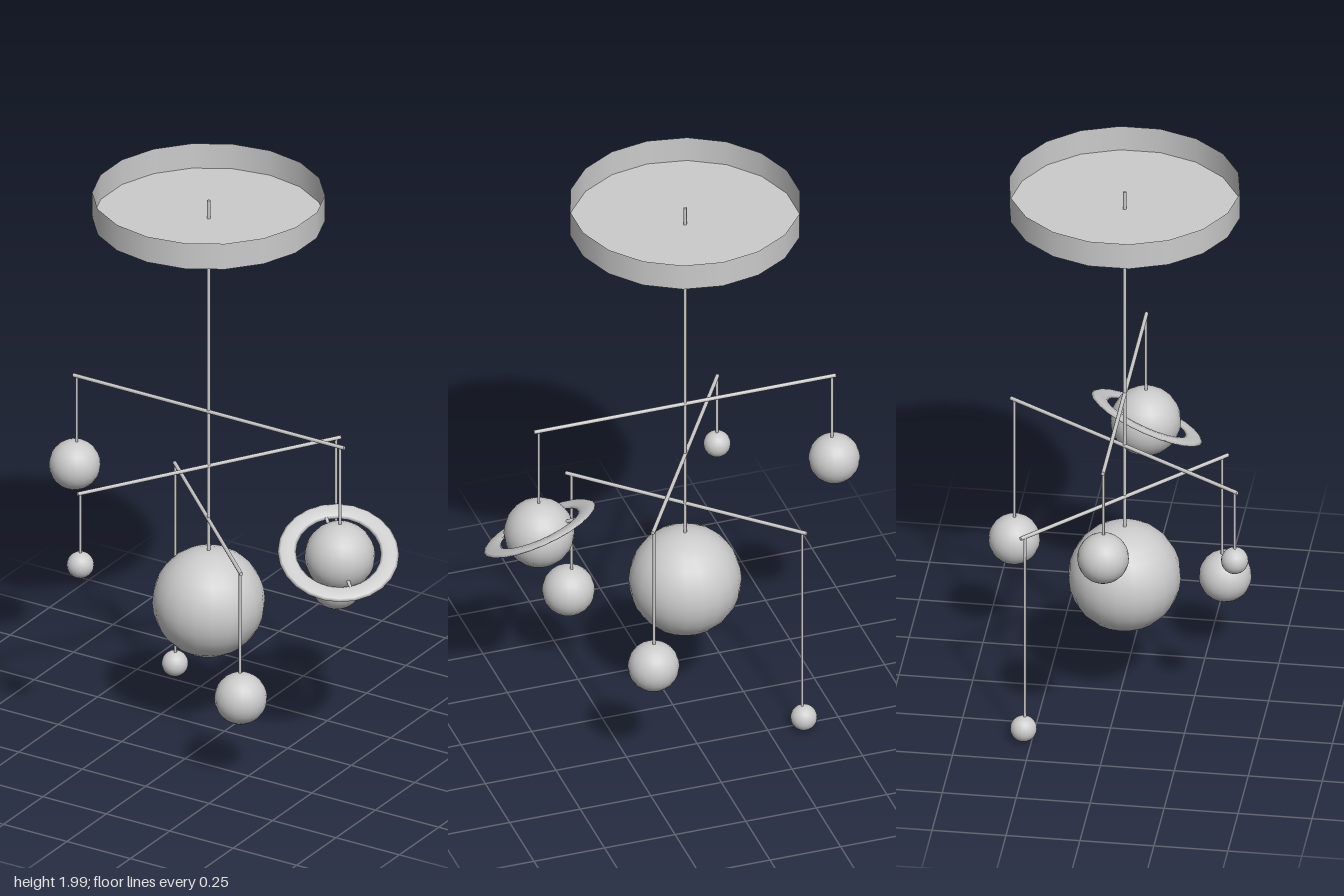
import * as THREE from 'three';

const grey = new THREE.MeshStandardMaterial({ color: 0xcccccc });
const greyDouble = new THREE.MeshStandardMaterial({ color: 0xcccccc, side: THREE.DoubleSide });
const CX = -0.05, CZ = 0.02; // hanging axis

function add(parent, name, geometry, material = grey) {
  const mesh = new THREE.Mesh(geometry, material);
  mesh.name = name;
  parent.add(mesh);
  return mesh;
}

// Thin round bar between two points
function rod(parent, name, a, b, radius) {
  const dir = b.clone().sub(a);
  const mesh = add(parent, name, new THREE.CylinderGeometry(radius, radius, dir.length(), 8));
  mesh.position.copy(a).add(b).multiplyScalar(0.5);
  mesh.quaternion.setFromUnitVectors(new THREE.Vector3(0, 1, 0), dir.normalize());
  return mesh;
}

function ball(parent, name, x, y, z, r) {
  const mesh = add(parent, name, new THREE.SphereGeometry(r, 20, 14));
  mesh.position.set(x, y, z);
  return mesh;
}

// One arm: crossbar with a planet on a string at each end
function arm(parent, y, ends) {
  const group = new THREE.Group();
  group.name = 'arm';
  const tips = ends.map(e => new THREE.Vector3(e.tip[0], y, e.tip[1]));
  rod(group, 'crossbar', tips[0], tips[1], 0.007);
  for (const e of ends) {
    const [sx, sz] = e.string, [bx, by, bz, r] = e.ball;
    rod(group, 'string', new THREE.Vector3(sx, y, sz), new THREE.Vector3(sx, by + r * 0.9, sz), 0.005);
    ball(group, 'planet', bx, by, bz, r);
  }
  parent.add(group);
}

export function createModel() {
  const model = new THREE.Group();
  model.name = 'planetMobile';

  // Ceiling canopy: shallow open cup
  const wall = add(model, 'canopyWall', new THREE.CylinderGeometry(0.39, 0.39, 0.095, 18, 1, true), greyDouble);
  wall.position.set(CX, 1.9525, CZ);
  const floor = add(model, 'canopyFloor', new THREE.CylinderGeometry(0.389, 0.389, 0.004, 18));
  floor.position.set(CX, 1.907, CZ);

  // Central stem and large middle ball
  rod(model, 'stem', new THREE.Vector3(CX, 0.6, CZ), new THREE.Vector3(CX, 1.975, CZ), 0.006);
  ball(model, 'centralBall', CX, 0.486, CZ, 0.19);

  // Three crossbars at different heights and angles
  arm(model, 1.19, [
    { tip: [-0.583, CZ], string: [-0.57, CZ], ball: [-0.578, 0.86, CZ, 0.087] },
    { tip: [0.485, CZ], string: [0.468, CZ], ball: [0.467, 0.785, CZ, 0.119] },
  ]);
  arm(model, 0.988, [
    { tip: [-0.308, 0.437], string: [-0.303, 0.427], ball: [-0.303, 0.723, 0.427, 0.046] },
    { tip: [0.209, -0.4], string: [0.2, -0.387], ball: [0.202, 0.447, -0.388, 0.087] },
  ]);
  arm(model, 0.791, [
    { tip: [-0.375, -0.287], string: [-0.364, -0.274], ball: [-0.368, 0.051, -0.278, 0.045] },
    { tip: [0.268, 0.325], string: [0.253, 0.308], ball: [0.261, 0.326, 0.317, 0.089] },
  ]);

  // Tilted flat ring with a strut through the planet
  const ringGroup = new THREE.Group();
  ringGroup.name = 'planetRing';
  ringGroup.position.set(0.464, 0.797, 0.024);
  ringGroup.rotation.set(0.4, 0, -0.3);
  const ring = new THREE.TorusGeometry(0.173, 0.031, 8, 24);
  ring.scale(1, 1, 0.28);
  ring.rotateX(Math.PI / 2);
  add(ringGroup, 'ring', ring);
  const d = 0.155 * Math.SQRT1_2;
  rod(ringGroup, 'ringStrut', new THREE.Vector3(-d, 0, -d), new THREE.Vector3(d, 0, d), 0.006);
  model.add(ringGroup);

  return model;
}
